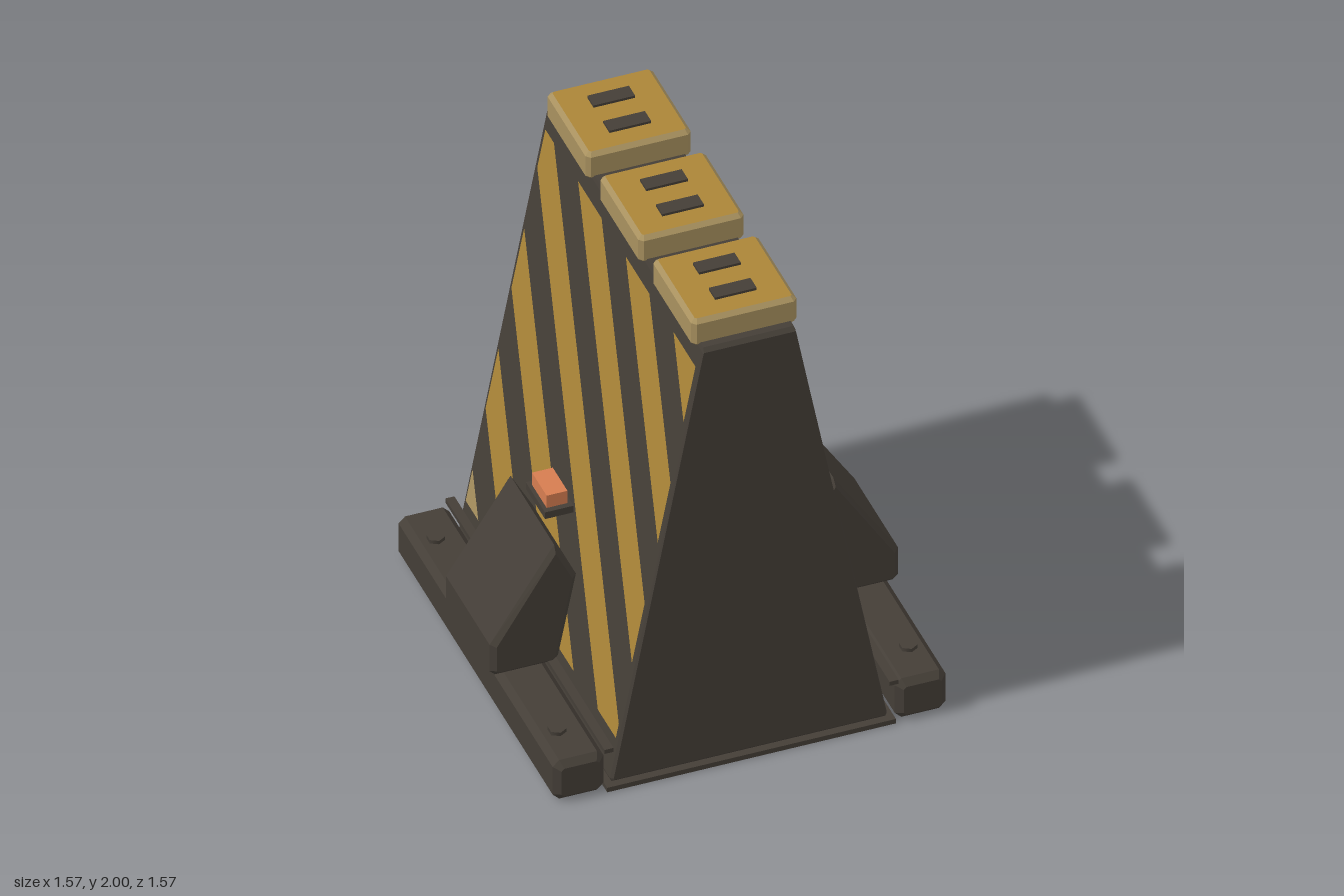
import * as THREE from 'three';

const mat = (name, color) => Object.assign(new THREE.MeshStandardMaterial({ color }), { name });

// Box with chamfered edges, extruded along z and centred on the origin
function chamferBox(w, h, d, c) {
  const x = w / 2, y = h / 2;
  const shape = new THREE.Shape([
    [x - c, -y], [x, -y + c], [x, y - c], [x - c, y],
    [-x + c, y], [-x, y - c], [-x, -y + c], [-x + c, -y],
  ].map(p => new THREE.Vector2(...p)));
  return bevelled(shape, d, c);
}

// Extrusion of total depth d with a one-step bevel that stays inside the outline
function bevelled(shape, d, c) {
  return new THREE.ExtrudeGeometry(shape, {
    depth: d - 2 * c, bevelEnabled: true, bevelSegments: 1,
    bevelSize: c, bevelThickness: c, bevelOffset: -c,
  }).translate(0, 0, -d / 2 + c);
}

// Half-width of the sloping body at height y
const bodyX = y => 0.535 + (0.177 - 0.535) * (y - 0.02) / 1.87;

// Keeps the part of a polygon where f(point) >= 0
function clip(poly, f) {
  const out = [];
  poly.forEach((p, i) => {
    const q = poly[(i + 1) % poly.length], a = f(p), b = f(q);
    if (a >= 0) out.push(p);
    if (a * b < 0) out.push([0, 1].map(k => p[k] + (q[k] - p[k]) * a / (a - b)));
  });
  return out;
}

// Thin diagonal stripe lying on one sloping side of the body
function stripeGeometry(start, width, side) {
  const top = ([h, y]) => h + (1.8 - y) / 1.1;
  let poly = [[-0.742, 0.2], [0.742, 0.2], [0.742, 1.8], [-0.742, 1.8]];
  poly = clip(poly, p => top(p) - start);
  poly = clip(poly, p => start + width - top(p));
  const pos = [];
  for (let i = 1; i < poly.length - 1; i++) {
    const tri = [poly[0], poly[i], poly[i + 1]];
    if (side < 0) tri.reverse();
    for (const [h, y] of tri) pos.push(side * (bodyX(y) + 0.004), y, -h);
  }
  const g = new THREE.BufferGeometry();
  g.setAttribute('position', new THREE.Float32BufferAttribute(pos, 3));
  g.computeVertexNormals();
  return g;
}

export function createModel() {
  const model = new THREE.Group();
  model.name = 'barrier';
  const dark = mat('dark metal', 0x443e37);
  const yellow = mat('hazard yellow', 0xab8538);
  const pale = mat('worn yellow', 0xa8915f);
  const orange = mat('lamp orange', 0xd67d50);

  const add = (parent, name, geometry, material, x = 0, y = 0, z = 0) => {
    const mesh = new THREE.Mesh(geometry, material);
    mesh.name = name;
    mesh.position.set(x, y, z);
    parent.add(mesh);
    return mesh;
  };

  // Base plate and tapered body
  add(model, 'basePlate', new THREE.BoxGeometry(1.11, 0.02, 1.574), dark, 0, 0.01);
  const body = chamferBox(2, 1.87, 1.54, 0.015).translate(0, 0.955, 0);
  const p = body.attributes.position;
  for (let i = 0; i < p.count; i++) p.setX(i, p.getX(i) * bodyX(p.getY(i)));
  body.computeVertexNormals();
  add(model, 'body', body, dark);

  // Hazard stripes on both sloping sides
  for (const side of [1, -1]) {
    for (let i = 0; i < 7; i++) {
      add(model, 'hazardStripe', stripeGeometry(-0.757 + i * 0.4715, 0.233, side), i === 6 ? pale : yellow);
    }
  }

  // Top caps with two slots each
  const capGeometry = chamferBox(0.405, 0.405, 0.12, 0.016).rotateX(-Math.PI / 2);
  const slotGeometry = new THREE.BoxGeometry(0.16, 0.012, 0.062);
  for (const z of [-0.522, 0, 0.522]) {
    add(model, 'topCap', capGeometry, [yellow, pale], 0, 1.93, z);
    for (const dz of [-0.079, 0.079]) add(model, 'capSlot', slotGeometry, dark, 0, 1.994, z + dz);
  }

  // Side assemblies: rail, bolts, strip, buttress and lamp
  const railGeometry = chamferBox(0.195, 0.175, 1.574, 0.025);
  const boltGeometry = new THREE.CylinderGeometry(0.034, 0.034, 0.02, 6);
  const buttressShape = new THREE.Shape([
    [0.54, 0.18], [0.765, 0.18], [0.785, 0.2], [0.785, 0.32],
    [0.537, 0.705], [0.453, 0.55], [0.522, 0.2],
  ].map(q => new THREE.Vector2(...q)));
  const buttressGeometry = bevelled(buttressShape, 0.47, 0.02);
  for (const turn of [0, Math.PI]) {
    const side = new THREE.Group();
    side.name = turn ? 'rightSide' : 'leftSide';
    side.rotation.y = turn;
    model.add(side);
    add(side, 'rail', railGeometry, dark, 0.6575, 0.0905);
    add(side, 'strip', new THREE.BoxGeometry(0.035, 0.018, 1.574), dark, 0.548, 0.186);
    for (const z of [-0.6, 0.6]) add(side, 'bolt', boltGeometry, dark, 0.675, 0.183, z);
    add(side, 'buttress', buttressGeometry, dark);
    add(side, 'lampBase', new THREE.BoxGeometry(0.11, 0.03, 0.19), dark, 0.47, 0.745);
    add(side, 'lamp', new THREE.BoxGeometry(0.08, 0.057, 0.145), orange, 0.47, 0.787);
  }
  return model;
}
